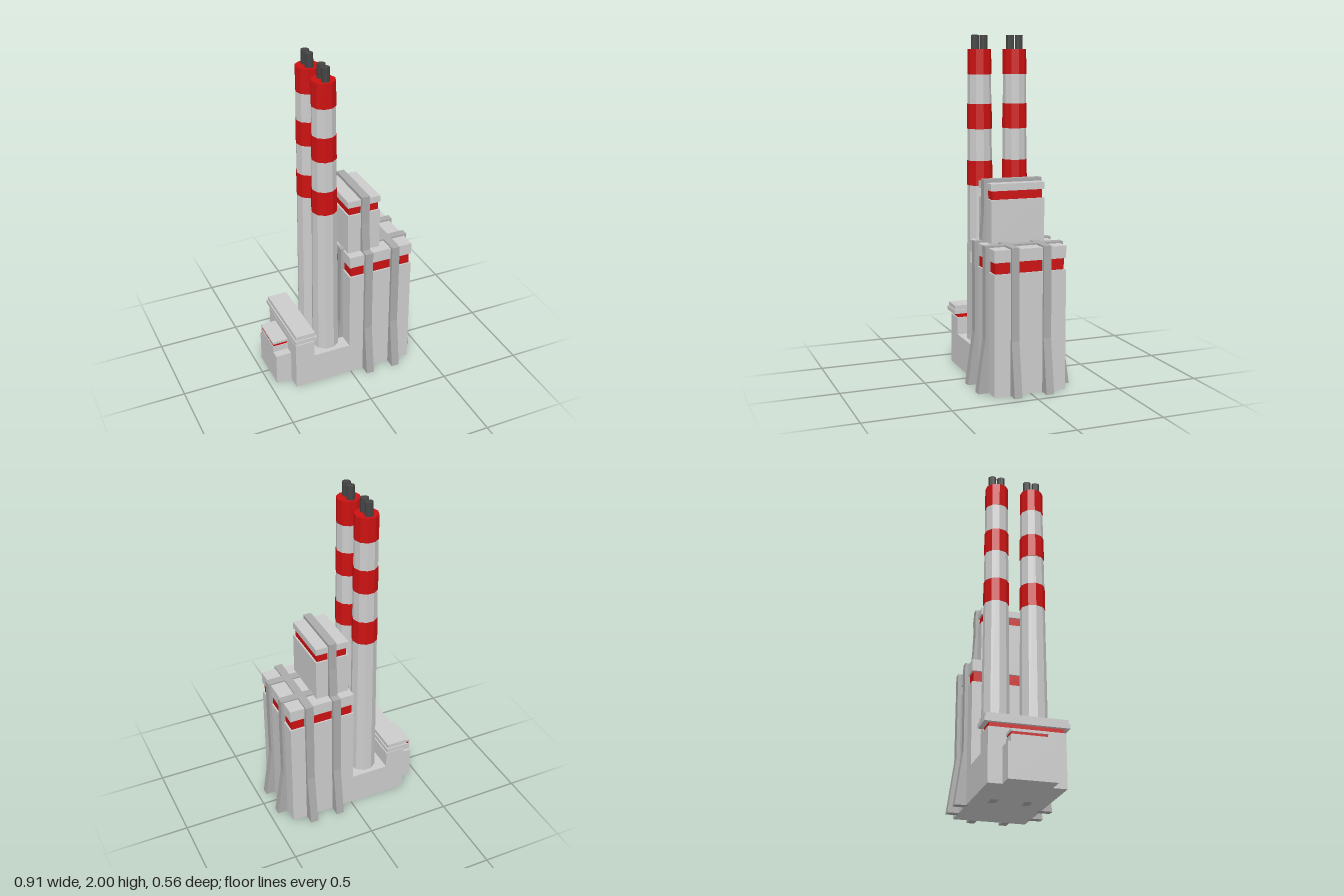
import * as THREE from 'three';

const mat = (color) => new THREE.MeshStandardMaterial({ color, flatShading: true });
const grey = mat(0xcccccc);
const ribGrey = mat(0xaaaaaa);
const red = mat(0xcc1111);
const dark = mat(0x444444);

export function createModel() {
  const model = new THREE.Group();
  model.name = 'powerStation';

  const add = (parent, name, geometry, material) => {
    const mesh = new THREE.Mesh(geometry, material);
    mesh.name = name;
    parent.add(mesh);
    return mesh;
  };

  // Box given by its limits on each axis
  const block = (name, [x0, x1], [y0, y1], [z0, z1], material = grey) =>
    add(model, name, new THREE.BoxGeometry(x1 - x0, y1 - y0, z1 - z0), material)
      .position.set((x0 + x1) / 2, (y0 + y1) / 2, (z0 + z1) / 2);

  // Block with an inset red band below its roof cap
  const bandedBlock = (name, x, z, [y0, bandLow, bandHigh, top], inset) => {
    const shrink = ([a, b]) => [a + inset, b - inset];
    block(name + 'Body', x, [y0, bandLow], z);
    block(name + 'Band', shrink(x), [bandLow, bandHigh], shrink(z), red);
    block(name + 'Cap', x, [bandHigh, top], z);
  };

  bandedBlock('mainHall', [-0.01, 0.39], [-0.215, 0.215], [0, 0.695, 0.76, 0.83], 0.01);
  bandedBlock('upperTower', [0, 0.203], [-0.162, 0.162], [0.83, 1.08, 1.13, 1.17], 0.01);

  // Low base under the chimneys and the side buildings
  block('chimneyBase', [-0.24, -0.01], [0, 0.2], [-0.215, 0.215]);
  block('sideHall', [-0.36, -0.24], [0, 0.305], [-0.215, 0.215]);
  block('sideHallBand', [-0.352, -0.248], [0.305, 0.33], [-0.207, 0.207], red);
  block('sideHallEave', [-0.37, -0.233], [0.33, 0.355], [-0.237, 0.237]);
  block('sideHallRoof', [-0.362, -0.241], [0.355, 0.38], [-0.229, 0.229]);
  block('annex', [-0.455, -0.36], [0, 0.2], [-0.135, 0.135]);
  bandedBlock('annexTop', [-0.455, -0.36], [-0.118, 0.085], [0.2, 0.24, 0.255, 0.27], 0.004);

  // Buttress frame: an upside-down U, flared towards its feet
  const frameGeometry = (half, foot, inner, y0, knee, top, width) => {
    const shape = new THREE.Shape([
      [-foot, y0], [-inner, y0], [-inner, top - 0.03], [inner, top - 0.03],
      [inner, y0], [foot, y0], [half, knee], [half, top], [-half, top], [-half, knee],
    ].map(([x, y]) => new THREE.Vector2(x, y)));
    return new THREE.ExtrudeGeometry(shape, { depth: width, bevelEnabled: false })
      .translate(0, 0, -width / 2);
  };

  for (const z of [-0.096, 0.096]) {
    add(model, 'lengthwiseButtress', frameGeometry(0.215, 0.262, 0.185, 0, 0.315, 0.84, 0.046), ribGrey)
      .position.set(0.19, 0, z);
  }
  const crossFrame = (name, x, ...size) => {
    const mesh = add(model, name, frameGeometry(...size), ribGrey);
    mesh.rotation.y = Math.PI / 2;
    mesh.position.x = x;
  };
  for (const x of [0.105, 0.277]) {
    crossFrame('crossButtress', x, 0.235, 0.28, 0.2, 0, 0.315, 0.84, 0.048);
  }
  crossFrame('towerButtress', 0.105, 0.177, 0.191, 0.145, 0.82, 1.02, 1.19, 0.048);

  // Ten-sided tapering chimneys with red bands and twin flues
  const y0 = 0.2, y1 = 1.92;
  const radiusAt = (y) => 0.08 - 0.013 * (y - y0) / (y1 - y0);
  const ring = (low, high, extra) =>
    new THREE.CylinderGeometry(radiusAt(high) + extra, radiusAt(low) + extra, high - low, 10)
      .rotateY(Math.PI / 2).translate(0, (low + high) / 2, 0);

  for (const z of [-0.11, 0.11]) {
    const chimney = new THREE.Group();
    chimney.name = 'chimney';
    chimney.position.set(-0.125, 0, z);
    add(chimney, 'chimneyShaft', ring(y0, y1 - 0.01, 0), grey);
    for (const [low, high] of [[1.13, 1.275], [1.46, 1.605], [1.775, y1]]) {
      add(chimney, 'chimneyBand', ring(low, high, 0.002), red);
    }
    for (const side of [-1, 1]) {
      add(chimney, 'flue', new THREE.CylinderGeometry(0.024, 0.024, 0.1, 10), dark)
        .position.set(0, 1.95, side * 0.027);
    }
    model.add(chimney);
  }

  return model;
}
